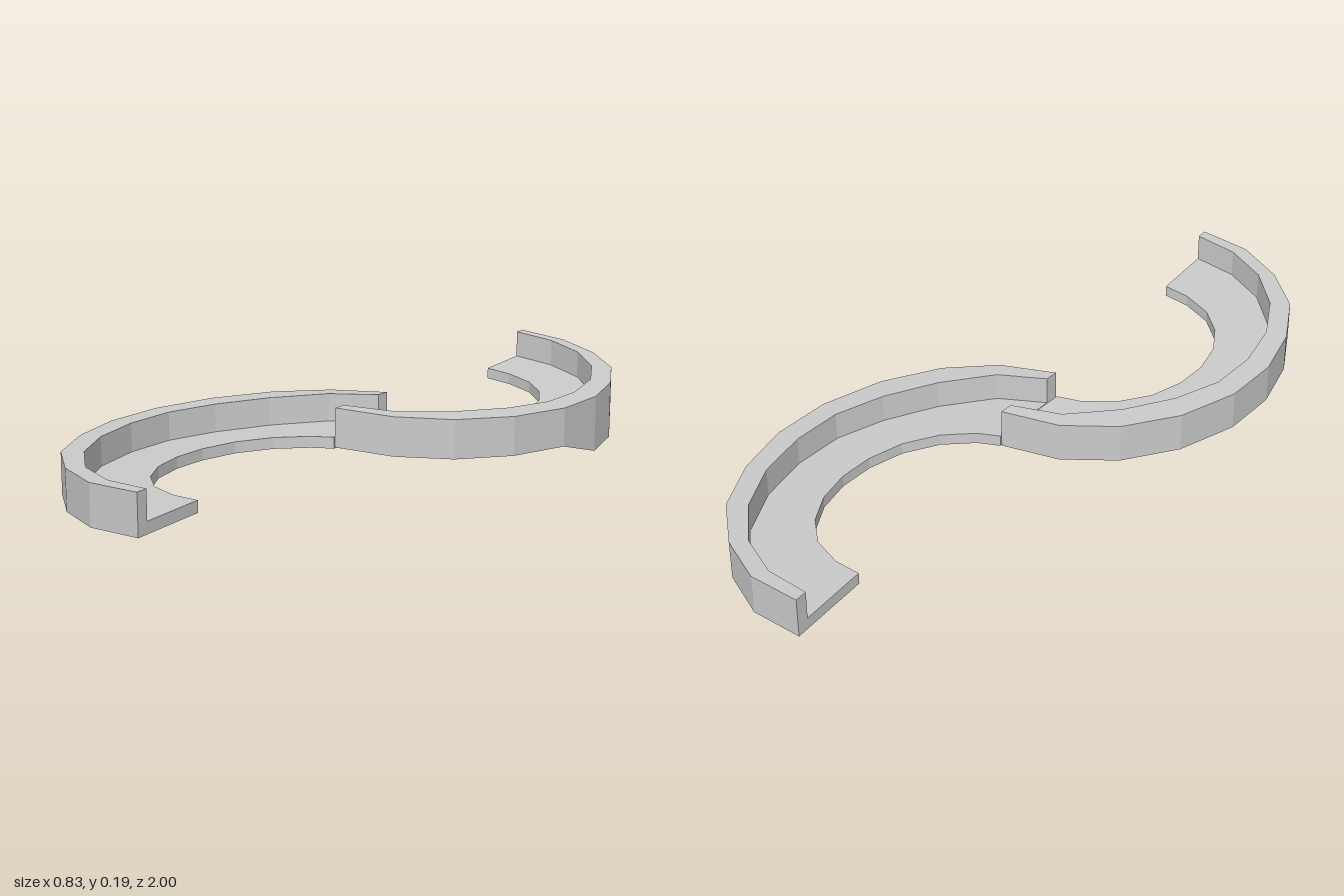
import * as THREE from 'three';

// One bend from its free end to the middle: [x, z] of the outer rim, wall foot and inner rim
const outer = [[-0.12, -1], [0.03, -0.99], [0.17, -0.92], [0.29, -0.81], [0.37, -0.66], [0.413, -0.5],
  [0.413, -0.335], [0.363, -0.165], [0.272, -0.025], [0.15, 0.07], [0, 0.115]];
const wall = [[-0.117, -0.966], [0.01, -0.952], [0.135, -0.89], [0.243, -0.78], [0.315, -0.645], [0.35, -0.497],
  [0.35, -0.355], [0.307, -0.222], [0.23, -0.09], [0.125, 0.025], [0, 0.077]];
const inner = [[-0.098, -0.773], [-0.02, -0.766], [0.07, -0.73], [0.14, -0.665], [0.19, -0.58], [0.215, -0.482],
  [0.215, -0.385], [0.19, -0.285], [0.135, -0.2], [0.06, -0.142], [0, -0.12]];

const FLOOR = 0.03, HEIGHT = 0.104;

// Sweeps the L-shaped section along the bend; turn = -1 rotates it half a turn
function bend(name, turn, base, bank, lowStations) {
  const sections = outer.map((o, i) => {
    const at = ([x, z], h) => [x * turn, base - bank * x + h, z * turn];
    const s = [at(o, 0), at(inner[i], 0), at(inner[i], FLOOR),
      at(wall[i], FLOOR), at(wall[i], HEIGHT), at(o, HEIGHT)];
    if (lowStations.includes(i)) s[0][1] = 0; // dropped outer foot
    return s;
  });
  const pos = [];
  const tri = (a, b, c) => pos.push(...a, ...b, ...c);
  for (let i = 0; i < sections.length - 1; i++) {
    const a = sections[i], b = sections[i + 1];
    for (let j = 0; j < 6; j++) {
      const k = (j + 1) % 6;
      tri(a[j], b[j], b[k]);
      tri(a[j], b[k], a[k]);
    }
  }
  // End caps
  const first = sections[0], last = sections[sections.length - 1];
  for (let j = 1; j < 5; j++) {
    tri(first[0], first[j], first[j + 1]);
    tri(last[0], last[j + 1], last[j]);
  }
  const geometry = new THREE.BufferGeometry();
  geometry.setAttribute('position', new THREE.Float32BufferAttribute(pos, 3));
  geometry.computeVertexNormals();
  const mesh = new THREE.Mesh(geometry, new THREE.MeshStandardMaterial({ color: 0xcccccc, flatShading: true }));
  mesh.name = name;
  return mesh;
}

export function createModel() {
  const group = new THREE.Group();
  group.name = 'curvedTrack';
  group.add(bend('backBend', 1, 0.077, 0.073, [4, 5]));
  group.add(bend('frontBend', -1, 0.075, 0.032, []));
  return group;
}
